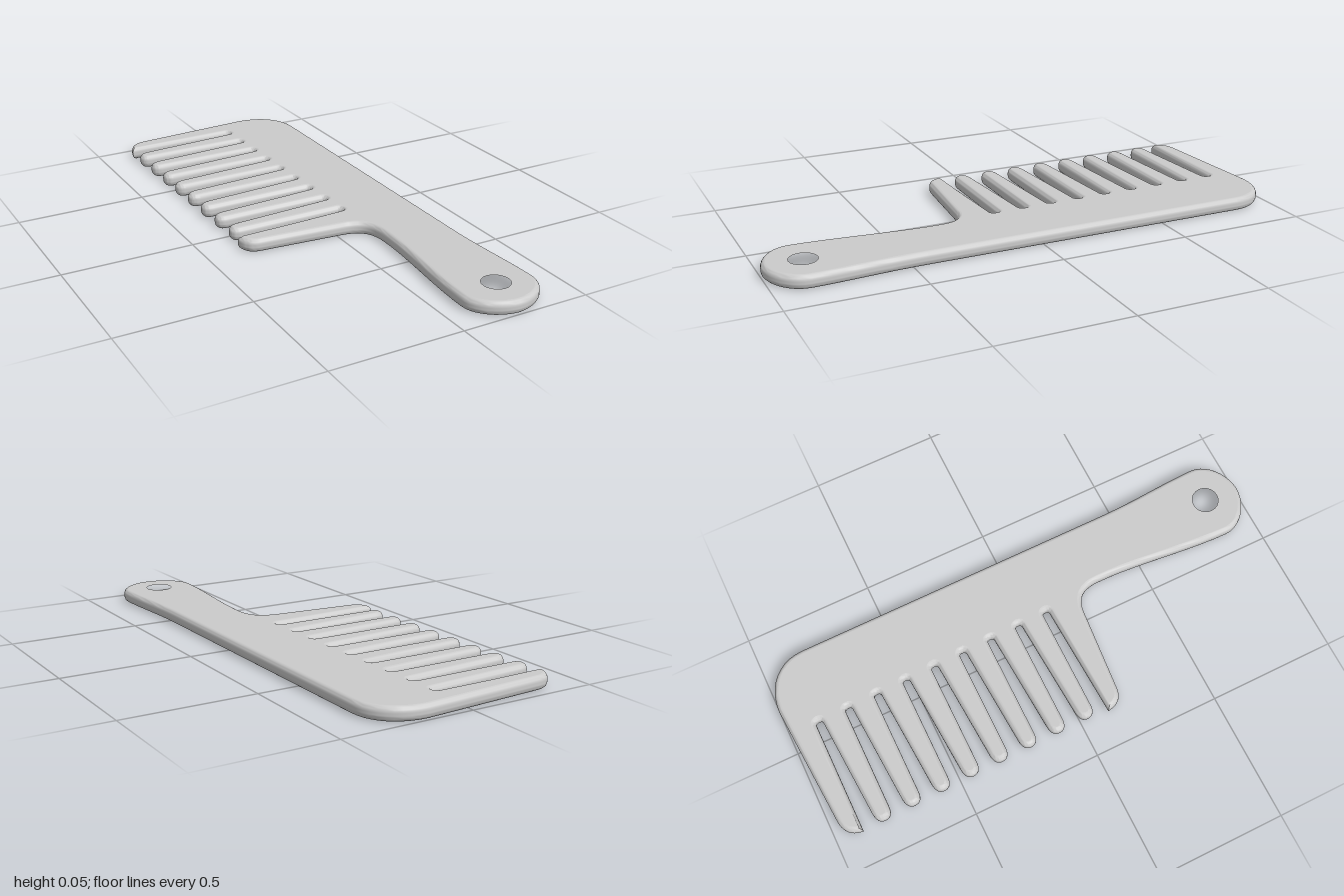
import * as THREE from 'three';
import { toCreasedNormals } from 'three/addons/utils/BufferGeometryUtils.js';

const THICK = 0.052, BEVEL = 0.018, BEVEL_H = 0.022;
const GAPS = 9, PITCH = 0.1195, GAP_R = 0.014;

// Outline in plan: shape x is model x, shape y is model z
function combOutline() {
  const s = new THREE.Shape();
  // end tooth at the back
  s.moveTo(0.17, -1);
  s.lineTo(-0.31, -0.967);
  s.quadraticCurveTo(-0.375, -0.96, -0.381, -0.895);

  // rounded slots, with a round-tipped tooth after each but the last
  for (let i = 0; i < GAPS; i++) {
    const z = -0.895 + i * PITCH;
    const root = 0.07 + i * 0.0025;
    s.lineTo(root - GAP_R, z);
    s.quadraticCurveTo(root, z, root, z + GAP_R);
    s.quadraticCurveTo(root, z + 2 * GAP_R, root - GAP_R, z + 2 * GAP_R);
    if (i === GAPS - 1) break;
    const tip = -0.38 + i * 0.0025, next = z + PITCH;
    s.lineTo(tip + 0.045, next - 0.066);
    s.quadraticCurveTo(tip, next - 0.063, tip, next - 0.032);
    s.quadraticCurveTo(tip, next, tip + 0.04, next);
  }

  // end tooth next to the handle
  s.lineTo(-0.37, 0.112);
  s.quadraticCurveTo(-0.365, 0.174, -0.31, 0.18);
  s.lineTo(0.02, 0.208);
  // handle with its rounded end
  s.bezierCurveTo(0.09, 0.215, 0.115, 0.25, 0.115, 0.32);
  s.bezierCurveTo(0.118, 0.48, 0.075, 0.7, 0.075, 0.87);
  s.bezierCurveTo(0.075, 0.94, 0.15, 0.998, 0.226, 1);
  s.bezierCurveTo(0.302, 0.998, 0.377, 0.94, 0.377, 0.87);
  s.bezierCurveTo(0.377, 0.75, 0.357, 0.6, 0.357, 0.45);
  // straight spine and rounded back corner
  s.lineTo(0.357, -0.83);
  s.bezierCurveTo(0.357, -0.93, 0.28, -1, 0.17, -1);

  // hanging hole
  const hole = new THREE.Path();
  hole.absarc(0.23, 0.856, 0.07, 0, Math.PI * 2, true);
  s.holes.push(hole);
  return s;
}

// Smooth rounded rims, with truly flat top and bottom faces
function smoothRims(geometry) {
  const g = toCreasedNormals(geometry, 0.7);
  const p = g.attributes.position, n = g.attributes.normal;
  for (let i = 0; i < p.count; i += 3) {
    const ys = [p.getY(i), p.getY(i + 1), p.getY(i + 2)];
    const top = ys.every((y) => y > THICK - 1e-4);
    const bottom = ys.every((y) => y < 1e-4);
    if (top || bottom) for (let k = 0; k < 3; k++) n.setXYZ(i + k, 0, top ? 1 : -1, 0);
  }
  return g;
}

export function createModel() {
  const geometry = new THREE.ExtrudeGeometry(combOutline(), {
    depth: THICK - 2 * BEVEL_H,
    bevelEnabled: true,
    bevelThickness: BEVEL_H,
    bevelSize: BEVEL,
    bevelOffset: -BEVEL,
    bevelSegments: 6,
    curveSegments: 10,
  });
  // lay flat on the ground
  geometry.rotateX(Math.PI / 2);
  geometry.translate(0, THICK - BEVEL_H, 0);

  const comb = new THREE.Mesh(
    smoothRims(geometry),
    new THREE.MeshStandardMaterial({ color: 0xcccccc })
  );
  comb.name = 'combBody';

  const group = new THREE.Group();
  group.name = 'comb';
  group.add(comb);
  return group;
}
